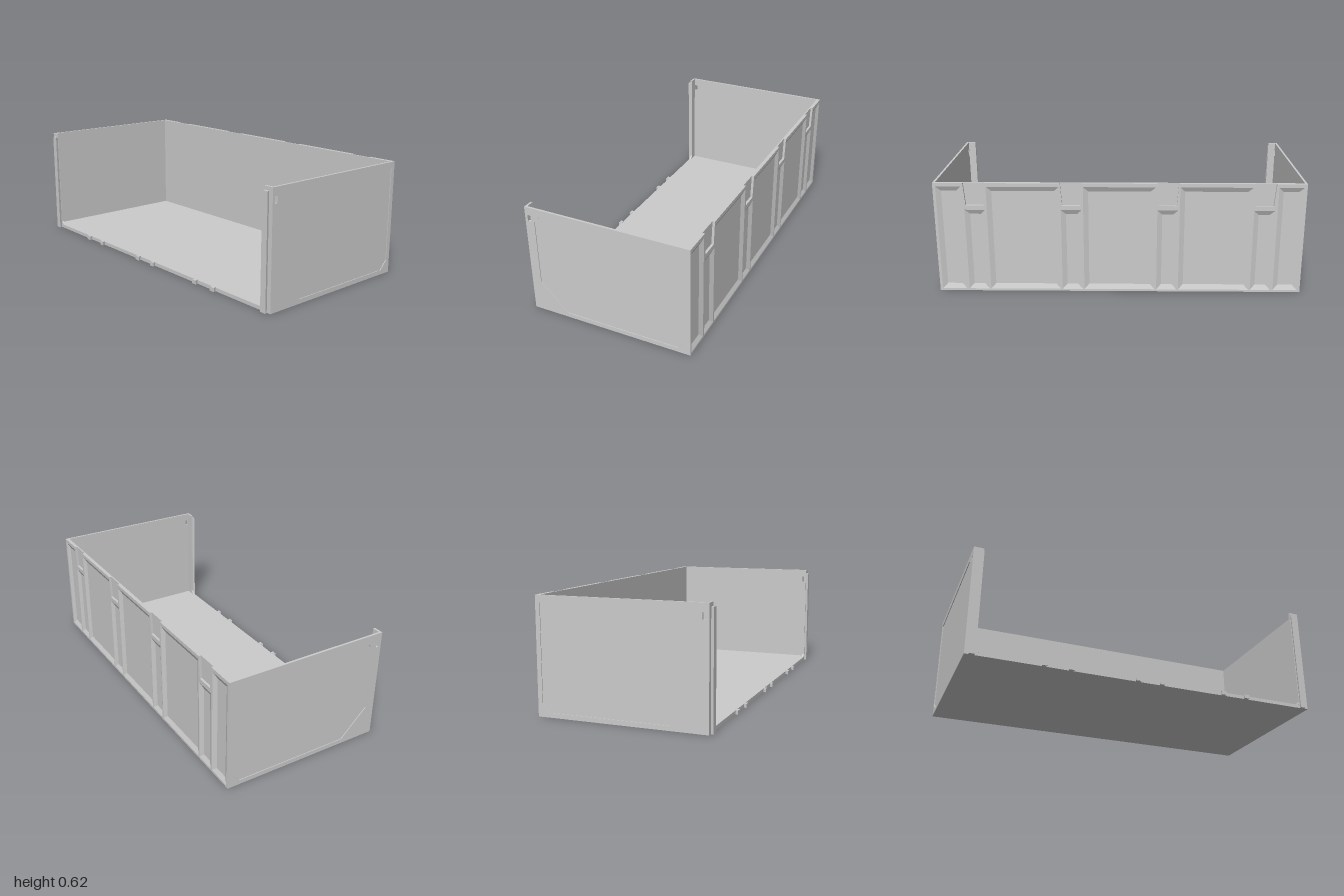
import * as THREE from 'three';

const mat = new THREE.MeshStandardMaterial({ color: 0xcccccc, flatShading: true });
const thin = new THREE.MeshStandardMaterial({ color: 0xcccccc, flatShading: true, side: THREE.DoubleSide });

const shapeOf = (pts) => new THREE.Shape(pts.map(([a, b]) => new THREE.Vector2(a, b)));
const pathOf = (pts) => new THREE.Path(pts.map(([a, b]) => new THREE.Vector2(a, b)));
const rect = (a0, b0, a1, b1) => [[a0, b0], [a1, b0], [a1, b1], [a0, b1]];
const extrude = (shape, depth) => new THREE.ExtrudeGeometry(shape, { depth, bevelEnabled: false });

function add(parent, name, geometry, material = mat) {
  const mesh = new THREE.Mesh(geometry, material);
  mesh.name = name;
  parent.add(mesh);
  return mesh;
}

// box given by its two opposite corners
function block(parent, name, [x0, y0, z0], [x1, y1, z1]) {
  const geo = new THREE.BoxGeometry(x1 - x0, y1 - y0, z1 - z0);
  geo.translate((x0 + x1) / 2, (y0 + y1) / 2, (z0 + z1) / 2);
  return add(parent, name, geo);
}

// sloping strip that joins two matching rectangles at different depths
function slopes(a, za, b, zb) {
  const pos = [];
  for (let i = 0; i < a.length; i++) {
    const j = (i + 1) % a.length;
    const p = [...a[i], za], q = [...a[j], za], r = [...b[j], zb], s = [...b[i], zb];
    pos.push(...p, ...q, ...r, ...p, ...r, ...s);
  }
  const geo = new THREE.BufferGeometry();
  geo.setAttribute('position', new THREE.Float32BufferAttribute(pos, 3));
  geo.computeVertexNormals();
  return geo;
}

// upright dovetail, wider at its front
function dovetail(parent, name, x, wBack, wFront, height) {
  const geo = extrude(shapeOf([[-wBack / 2, -0.45], [-wFront / 2, -0.47], [wFront / 2, -0.47], [wBack / 2, -0.45]]), height);
  geo.rotateX(-Math.PI / 2);
  geo.translate(x, 0, 0);
  return add(parent, name, geo);
}

const H = 0.625, FRONT = 0.455, BACK = -0.47;

function sideWall(root, s) {
  const side = new THREE.Group();
  side.name = s > 0 ? 'leftSide' : 'rightSide';
  const panel = [[0.402, 0.545], [0.357, 0.59], [-0.445, 0.59], [-0.445, 0.072],
    [-0.4, 0.025], [0.25, 0.025], [0.402, 0.178]];
  const slab = (name, hole, inset, depth) => {
    const shape = shapeOf(rect(-0.46, 0, FRONT, H));
    hole.forEach((h) => shape.holes.push(pathOf(h)));
    const geo = extrude(shape, depth);
    geo.rotateY(-Math.PI / 2);
    geo.translate(s > 0 ? 1 - inset : -1 + inset + depth, 0, 0);
    add(side, name, geo);
  };
  const slot = rect(0.422, 0.545, 0.44, 0.58);
  slab('sideFrame', [panel, slot], 0, 0.004);
  slab('sidePanel', [slot], 0.004, 0.008);
  // front flange and the rail on it
  const x0 = s > 0 ? 0.945 : -1, x1 = s > 0 ? 1 : -0.945;
  block(side, 'frontFlange', [x0, 0, 0.443], [x1, H, FRONT]);
  dovetail(side, 'frontRail', s * 0.963, 0.022, 0.036, 0.605);
  // small fillet between flange and floor lip
  const fillet = extrude(shapeOf(s > 0
    ? [[0.946, 0.019], [0.946, 0.04], [0.925, 0.019]]
    : [[-0.946, 0.019], [-0.925, 0.019], [-0.946, 0.04]]), 0.012);
  fillet.translate(0, 0, 0.443);
  add(side, 'cornerFillet', fillet);
  root.add(side);
}

function backWall(root) {
  const back = new THREE.Group();
  back.name = 'backWall';
  block(back, 'backPanel', [-0.99, 0, -0.457], [0.99, H, -0.449]);

  // outline with four notches open at the top
  const centres = [-0.78, -0.26, 0.26, 0.78];
  const outline = [[-1, 0], [1, 0], [1, H]];
  [...centres].reverse().forEach((c) => {
    outline.push([c + 0.058, H], [c + 0.048, 0.5], [c - 0.048, 0.5], [c - 0.058, H]);
  });
  outline.push([-1, H]);
  const frame = shapeOf(outline);

  // pockets: two at the ends, three wide, one short under each notch
  const pockets = [rect(-0.985, 0.012, -0.85, 0.605), rect(0.85, 0.012, 0.985, 0.605)];
  for (const c of [-0.52, 0, 0.52]) pockets.push(rect(c - 0.195, 0.012, c + 0.195, 0.605));
  for (const c of centres) pockets.push(rect(c - 0.056, 0.012, c + 0.056, 0.475));
  for (const p of pockets) {
    frame.holes.push(pathOf(p));
    const t = 0.027;
    const [[x0, y0], , [x1, y1]] = p;
    const inner = rect(x0 + t, y0 + t, x1 - t, y1 - t);
    add(back, 'pocketSlopes', slopes(p, BACK, inner, -0.457), thin);
  }
  const geo = extrude(frame, 0.014);
  geo.translate(0, 0, BACK);
  add(back, 'backFrame', geo);
  root.add(back);
}

export function createModel() {
  const root = new THREE.Group();
  root.name = 'openTray';
  block(root, 'floor', [-0.998, 0, -0.46], [0.998, 0.02, FRONT - 0.001]);
  backWall(root);
  for (const s of [1, -1]) {
    sideWall(root, s);
    // short dovetail tabs along the floor lip
    for (const x of [0.07, 0.445, 0.59]) dovetail(root, 'floorTab', s * x, 0.018, 0.032, 0.022);
  }
  return root;
}
